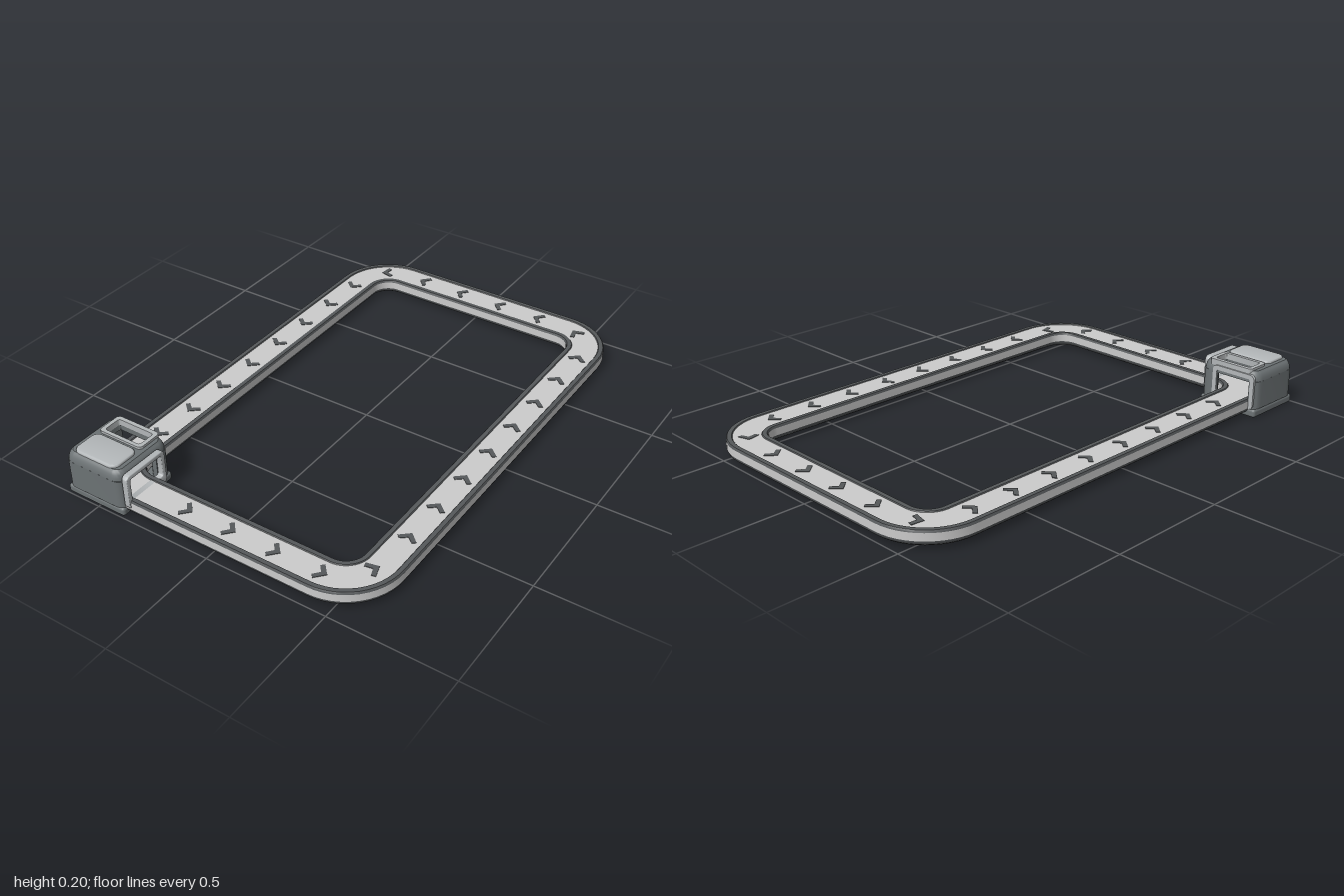
import * as THREE from 'three';
import { toCreasedNormals } from 'three/addons/utils/BufferGeometryUtils.js';
import { RoundedBoxGeometry } from 'three/addons/geometries/RoundedBoxGeometry.js';

const mat = (color) => new THREE.MeshStandardMaterial({ color, side: THREE.DoubleSide });

// Sweeps a profile of [offset, y] points around a rounded rectangle in plan
function loopSweep(profile, closed, cx, cz, hw, hd, r, steps = 12) {
  const path = [];
  const corners = [[1, 1], [-1, 1], [-1, -1], [1, -1]];
  corners.forEach(([sx, sz], q) => {
    for (let i = 0; i <= steps; i++) {
      const a = (q + i / steps) * Math.PI / 2;
      path.push([cx + sx * (hw - r), cz + sz * (hd - r), Math.cos(a), Math.sin(a)]);
    }
  });
  const n = path.length, m = profile.length, pos = [], idx = [];
  for (const [u, y] of profile)
    for (const [x, z, c, s] of path) pos.push(x + (r + u) * c, y, z + (r + u) * s);
  for (let i = 0; i < (closed ? m : m - 1); i++) {
    for (let j = 0; j < n; j++) {
      const i2 = (i + 1) % m, j2 = (j + 1) % n;
      const a = i * n + j, b = i2 * n + j, c = i2 * n + j2, d = i * n + j2;
      idx.push(a, b, c, a, c, d);
    }
  }
  const g = new THREE.BufferGeometry();
  g.setAttribute('position', new THREE.Float32BufferAttribute(pos, 3));
  g.setIndex(idx);
  return toCreasedNormals(g, 0.7);
}

// Rounded rectangle centred on (x, y)
function roundRect(w, h, r, x = 0, y = 0, Type = THREE.Shape) {
  const s = new Type(), a = w / 2, b = h / 2;
  s.absarc(x + a - r, y + b - r, r, 0, Math.PI / 2);
  s.absarc(x - a + r, y + b - r, r, Math.PI / 2, Math.PI);
  s.absarc(x - a + r, y - b + r, r, Math.PI, Math.PI * 1.5);
  s.absarc(x + a - r, y - b + r, r, Math.PI * 1.5, Math.PI * 2);
  s.closePath();
  return s;
}

const extrude = (shape, depth, bevel = 0) => toCreasedNormals(new THREE.ExtrudeGeometry(shape, {
  depth, curveSegments: 8, bevelEnabled: bevel > 0, bevelSize: bevel, bevelThickness: bevel,
  bevelOffset: -bevel, bevelSegments: 3,
}), 0.6);

// Extrudes a plan shape (x, -z) upwards
const plan = (shape, depth, bevel) => extrude(shape, depth, bevel).rotateX(-Math.PI / 2);

export function createModel() {
  const model = new THREE.Group();
  const dark = mat(0x55585a), belt = mat(0xbebebe), shell = mat(0x6c7274), trim = mat(0xb4b8ba);
  const add = (name, geo, material, x = 0, y = 0, z = 0, parent = model) => {
    const mesh = new THREE.Mesh(geo, material);
    mesh.name = name;
    mesh.position.set(x, y, z);
    parent.add(mesh);
    return mesh;
  };

  // Conveyor track: closed rounded-rectangle loop
  const track = (profile, closed) => loopSweep(profile, closed, 0.0125, -0.01, 0.5525, 0.91, 0.155);
  const half = [[0.045, 0.012], [0.064, 0.016], [0.074, 0.024], [0.078, 0.034], [0.078, 0.07],
    [0.074, 0.076], [0.057, 0.076], [0.053, 0.07]];
  const mirrored = half.map(([u, y]) => [-u, y]).reverse();
  add('trackBody', track([...half, ...mirrored], true), dark);
  add('beltSurface', track([[0.054, 0.0725], [-0.054, 0.0725]], false), belt);
  add('outerSideBand', track([[0.0785, 0.037], [0.0785, 0.067]], false), belt);
  add('innerSideBand', track([[-0.0785, 0.067], [-0.0785, 0.037]], false), belt);

  // Direction chevrons, pointing along +x before turning
  const chevron = new THREE.Shape();
  [[0.023, 0], [-0.011, 0.038], [-0.023, 0.025], [-0.002, 0], [-0.023, -0.025], [-0.011, -0.038]]
    .forEach(([x, y], i) => (i ? chevron.lineTo(x, y) : chevron.moveTo(x, y)));
  const chevronGeo = plan(chevron, 0.002);
  const arrows = new THREE.Group();
  arrows.name = 'chevrons';
  model.add(arrows);
  const arrow = (x, z, degrees) => {
    add('chevron', chevronGeo, dark, x, 0.0725, z, arrows).rotation.y = degrees * Math.PI / 180;
  };
  for (let i = 0; i < 8; i++) {
    arrow(0.565, -0.73 + i * 0.189, 90);
    arrow(-0.54, -0.71 + i * 0.189, 270);
  }
  for (let i = 0; i < 4; i++) {
    arrow(0.285 - i * 0.192, -0.92, 180);
    arrow(-0.16 + i * 0.192, 0.9, 0);
  }
  arrow(0.55, 0.79, 60);
  arrow(0.475, -0.9, 150);
  arrow(-0.475, -0.893, 215);

  // Corner station
  const station = new THREE.Group();
  station.name = 'cornerStation';
  model.add(station);
  const cx = -0.515, cz = 0.8625;
  add('stationBase', new RoundedBoxGeometry(0.27, 0.036, 0.265, 3, 0.012), shell, cx, 0.018, cz, station);

  // Outer walls, open where the track passes through
  const walls = new THREE.Shape();
  walls.moveTo(-0.615, -0.73);
  walls.quadraticCurveTo(-0.65, -0.73, -0.65, -0.775);
  walls.lineTo(-0.65, -0.95);
  walls.quadraticCurveTo(-0.65, -0.995, -0.605, -0.995);
  walls.lineTo(-0.425, -0.995);
  walls.quadraticCurveTo(-0.38, -0.995, -0.38, -0.96);
  walls.lineTo(-0.615, -0.965);
  walls.closePath();
  add('stationWalls', plan(walls, 0.116), shell, 0, 0.035, 0, station);

  // Inner corner post
  const post = new THREE.Shape();
  post.moveTo(-0.46, -0.735);
  post.lineTo(-0.425, -0.73);
  post.quadraticCurveTo(-0.38, -0.73, -0.38, -0.775);
  post.lineTo(-0.38, -0.805);
  post.quadraticCurveTo(-0.44, -0.79, -0.46, -0.735);
  add('innerPost', plan(post, 0.116), shell, 0, 0.035, 0, station);

  // Roof with rounded edge and a loading opening
  const edge = [[0, 0.148], [-0.001, 0.162], [-0.005, 0.174], [-0.011, 0.184], [-0.019, 0.19]];
  add('roofEdge', loopSweep(edge, false, cx, cz, 0.135, 0.1325, 0.045, 8), shell, 0, 0, 0, station);
  const roof = roundRect(0.232, 0.227, 0.026);
  roof.holes.push(roundRect(0.17, 0.078, 0.01, 0, 0.0725, THREE.Path));
  add('roof', plan(roof, 0.04), shell, cx, 0.15, cz, station);
  const rim = roundRect(0.2, 0.107, 0.016);
  rim.holes.push(roundRect(0.166, 0.074, 0.01, 0, -0.001, THREE.Path));
  add('openingRim', plan(rim, 0.025), trim, cx, 0.175, 0.789, station);
  add('topCap', plan(roundRect(0.2, 0.124, 0.03), 0.016, 0.007), trim, cx, 0.177, 0.916, station);

  // Frames around the track's two passages
  const frame = roundRect(0.2, 0.146, 0.02);
  frame.holes.push(roundRect(0.162, 0.09, 0.008, 0, 0.009, THREE.Path));
  const sideFrame = add('sideFrame', extrude(frame, 0.018, 0.004), trim, -0.377, 0.109, 0.884, station);
  sideFrame.rotation.y = Math.PI / 2;
  add('backFrame', extrude(frame, 0.012), trim, -0.538, 0.106, 0.729, station);

  return model;
}
